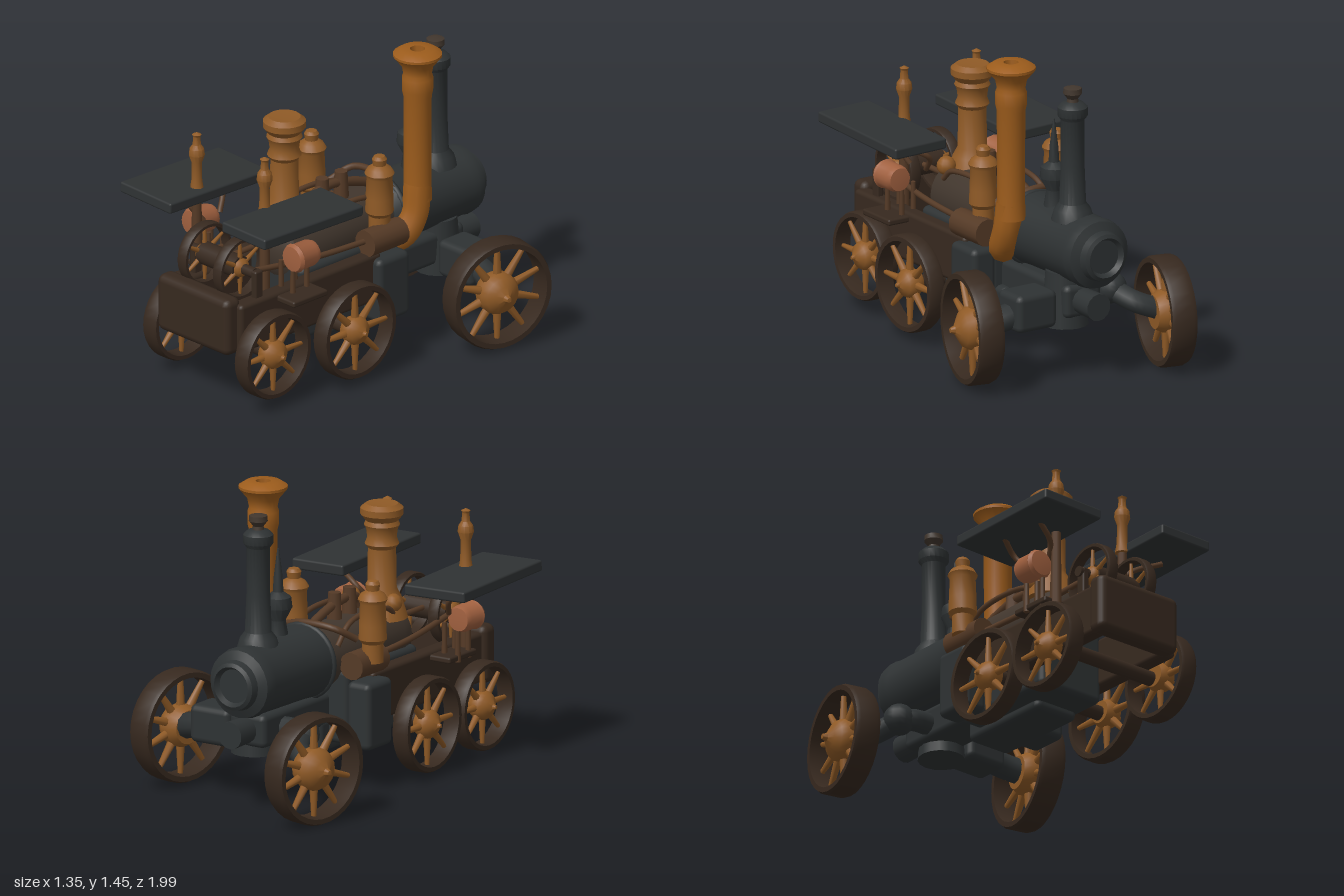
import * as THREE from 'three';
import { toCreasedNormals } from 'three/addons/utils/BufferGeometryUtils.js';
import { RoundedBoxGeometry } from 'three/addons/geometries/RoundedBoxGeometry.js';

const YAW = -0.11; // the body stands slightly askew
const STEER = -0.34; // steered rear axle
const mat = (color) => new THREE.MeshStandardMaterial({ color });
const M = {
  dark: mat(0x2e3233), iron: mat(0x37291f), rust: mat(0x553a26), soot: mat(0x41362d),
  brass: mat(0x8f5a26), orange: mat(0x9c5c1c), copper: mat(0xa0603f), slate: mat(0x2f3233),
};
const V = (x, y, z) => new THREE.Vector3(x, y, z);
// body coordinates (across, along) to model coordinates
const L = (lx, y, lz) => V(-0.03 + lx - 0.11 * lz, y, lz + 0.11 * lx);

// turned part; profile is [radius, height] pairs
const lathe = (pts, seg = 20) =>
  toCreasedNormals(new THREE.LatheGeometry(pts.map(([r, h]) => new THREE.Vector2(r, h)), seg), 0.65);
const box = (w, h, d, r = 0.02) => new RoundedBoxGeometry(w, h, d, 2, r);
const cylX = (r, len) => new THREE.CylinderGeometry(r, r, len, 16).rotateZ(-Math.PI / 2);

export function createModel() {
  const root = new THREE.Group();
  root.name = 'steamTractor';

  function put(name, geo, material, p, yaw = YAW, parent = root) {
    const m = new THREE.Mesh(geo, material);
    m.name = name;
    m.position.copy(p);
    m.rotation.y = yaw;
    parent.add(m);
    return m;
  }
  function pipe(name, pts, r, material) {
    const curve = new THREE.CatmullRomCurve3(pts);
    return put(name, new THREE.TubeGeometry(curve, pts.length * 5, r, 10), material, V(0, 0, 0), 0);
  }

  // Spoked wheel; side +1 or -1 points the hub cap outwards
  function wheel(name, p, R, width, spokes, hub, side, yaw = YAW) {
    const g = new THREE.Group();
    g.name = name;
    g.position.copy(p);
    g.rotation.y = yaw;
    root.add(g);
    const h = width / 2, ri = R * 0.88;
    const rim = lathe([[ri, -h], [R * 0.97, -h], [R, -h * 0.7], [R, h * 0.7], [R * 0.97, h],
      [ri, h], [ri * 0.98, 0], [ri, -h]], 32).rotateZ(-Math.PI / 2);
    put('rim', rim, M.iron, V(0, 0, 0), 0, g);
    for (let i = 0; i < spokes; i++) {
      const a = (i / spokes) * Math.PI * 2;
      const spoke = new THREE.CylinderGeometry(R * 0.045, R * 0.1, R * 0.92, 7)
        .translate(0, R * 0.46, 0).rotateX(a);
      put('spoke', spoke, M.brass, V(0, 0, 0), 0, g);
    }
    const cap = lathe([[0, -h], [hub * 0.8, -h], [hub, -h * 0.4], [hub, h * 0.4], [hub * 0.85, h * 0.85],
      [hub * 0.5, h * 1.2], [hub * 0.2, h * 1.5], [hub * 0.12, h * 1.85], [0, h * 1.9]]).rotateZ(-side * Math.PI / 2);
    put('hub', cap, M.brass, V(0, 0, 0), 0, g);
  }

  // Road wheels
  wheel('rearWheelLeft', V(0.533, 0.28, -0.398), 0.265, 0.12, 10, 0.1, 1, STEER);
  wheel('rearWheelRight', V(-0.345, 0.262, -0.735), 0.26, 0.12, 10, 0.1, -1, STEER);
  wheel('frontWheelLeft', V(0.17, 0.27, 0.78), 0.21, 0.085, 8, 0.068, 1);
  wheel('frontWheelRight', V(-0.465, 0.25, 0.67), 0.21, 0.085, 8, 0.068, -1);
  wheel('middleWheelLeft', V(0.287, 0.27, 0.33), 0.23, 0.085, 8, 0.068, 1);
  wheel('middleWheelRight', V(-0.41, 0.255, 0.24), 0.225, 0.085, 8, 0.068, -1);

  // Axles
  put('frontAxle', cylX(0.035, 0.6), M.iron, V(-0.145, 0.26, 0.725));
  put('middleAxle', cylX(0.035, 0.66), M.iron, V(-0.06, 0.265, 0.285));
  put('leftAxleBlock', box(0.22, 0.18, 0.18, 0.03), M.dark, V(0.28, 0.345, -0.49), -0.1);
  pipe('leftAxleArm', [V(0.3, 0.34, -0.49), V(0.42, 0.31, -0.46), V(0.53, 0.28, -0.4)], 0.062, M.dark);
  put('rightAxleKnuckle', new THREE.SphereGeometry(0.075, 14, 10), M.dark, V(-0.185, 0.36, -0.535));
  pipe('rightAxleArm', [V(0.06, 0.36, -0.47), V(-0.16, 0.36, -0.51), V(-0.23, 0.31, -0.66), V(-0.345, 0.262, -0.735)], 0.052, M.dark);
  put('steeringPivot', new THREE.CylinderGeometry(0.09, 0.11, 0.26, 16), M.dark, V(0.08, 0.37, -0.52));
  put('rearDrum', new THREE.CylinderGeometry(0.06, 0.065, 0.18, 14).rotateX(Math.PI / 2), M.dark, V(0.07, 0.37, -0.67));

  // Frame, tank and engine block
  put('frontTank', box(0.47, 0.28, 0.1, 0.035), M.iron, L(-0.025, 0.43, 0.92));
  for (const s of [-1, 1]) {
    put('sideRail', box(0.08, 0.24, 0.9), M.iron, L(s * 0.2, 0.42, 0.46));
    put('lampBoard', box(0.16, 0.03, 0.22, 0.01), M.iron, L(s * 0.27, 0.51, 0.57));
    put('sideCasing', box(0.13, 0.32, 0.2, 0.03), M.dark, L(s * 0.232 - 0.012, 0.36, -0.03));
    put('cylinderBlock', new THREE.CylinderGeometry(0.065, 0.065, 0.22, 14).rotateX(Math.PI / 2),
      M.rust, L(s * 0.21, 0.595, -0.02));
    pipe('connectingRod', [L(s * 0.2, 0.6, 0.05), L(s * 0.18, 0.61, 0.4), L(s * 0.15, 0.65, 0.79)], 0.014, M.rust);
  }
  put('engineBlock', box(0.36, 0.36, 0.58, 0.03), M.dark, L(0, 0.39, 0.17));
  put('sump', box(0.24, 0.16, 0.5, 0.03), M.dark, L(0.04, 0.25, 0.06));
  put('rearBeam', box(0.2, 0.16, 0.6, 0.03), M.dark, L(0.02, 0.37, -0.34));

  // Boiler barrel and firebox
  const barrel = lathe([[0, -0.77], [0.08, -0.77], [0.095, -0.795], [0.112, -0.785], [0.12, -0.75], [0.16, -0.73],
    [0.168, -0.69], [0.163, -0.66], [0.168, -0.3], [0.175, -0.2], [0.14, -0.17], [0, -0.17]], 24)
    .rotateX(Math.PI / 2);
  put('boiler', barrel, M.dark, L(0, 0.61, 0));
  const firebox = lathe([[0, -0.2], [0.145, -0.2], [0.15, 0.1], [0.155, 0.38], [0.14, 0.45], [0.08, 0.49], [0, 0.49]], 20)
    .rotateX(Math.PI / 2);
  put('firebox', firebox, M.soot, L(-0.01, 0.61, 0));
  put('boilerRing', new THREE.TorusGeometry(0.168, 0.016, 8, 28), M.dark, L(0, 0.61, -0.21));

  // Paired flywheels on a drum
  for (const s of [-1, 1]) wheel('flywheel', L(-0.027 + s * 0.115, 0.65, 0.77), 0.152, 0.055, 6, 0.045, s);
  put('flywheelDrum', cylX(0.055, 0.24), M.iron, L(-0.025, 0.65, 0.77));
  put('flywheelShaft', cylX(0.025, 0.42), M.iron, L(-0.02, 0.65, 0.77));
  for (const s of [-1, 1]) put('shaftBracket', box(0.035, 0.18, 0.05, 0.01), M.iron, L(s * 0.2, 0.58, 0.77));
  put('drawbar', new THREE.CylinderGeometry(0.012, 0.015, 0.32, 10).rotateX(Math.PI / 2), M.rust, L(-0.02, 0.66, 0.62));
  put('drawbarKnob', new THREE.SphereGeometry(0.036, 12, 8), M.rust, L(-0.02, 0.66, 0.53));

  // Chimneys
  put('frontChimney', lathe([[0, 0.66], [0.12, 0.7], [0.09, 0.8], [0.068, 0.84], [0.065, 1.03], [0.08, 1.05], [0.068, 1.08],
    [0.073, 1.12], [0.084, 1.14], [0.075, 1.16], [0.1, 1.19], [0.1, 1.22], [0.075, 1.24], [0, 1.235]]),
    M.brass, V(-0.112, 0, 0.355));
  pipe('smokestackElbow', [V(0.11, 0.51, -0.12), V(0.16, 0.55, -0.18), V(0.18, 0.64, -0.23), V(0.18, 0.78, -0.252)], 0.067, M.orange);
  put('smokestack', lathe([[0, 0.7], [0.068, 0.7], [0.064, 0.8], [0.066, 1.22], [0.073, 1.25], [0.073, 1.31], [0.066, 1.33],
    [0.074, 1.37], [0.114, 1.418], [0.114, 1.43], [0.08, 1.452], [0.035, 1.452], [0.03, 1.36], [0, 1.36]]),
    M.orange, V(0.178, 0, -0.255));
  put('rearChimney', lathe([[0, 0.7], [0.1, 0.74], [0.085, 0.79], [0.062, 0.82], [0.055, 1.0], [0.055, 1.22], [0.07, 1.24],
    [0.07, 1.28], [0.05, 1.3], [0, 1.31]]), M.dark, V(0.05, 0, -0.54));
  put('rearChimneyFinial', lathe([[0, 1.28], [0.03, 1.29], [0.025, 1.32], [0.044, 1.345], [0.042, 1.37], [0, 1.38]], 12),
    M.soot, V(0.05, 0, -0.54));
  put('spire', lathe([[0, 0.74], [0.05, 0.75], [0.035, 0.84], [0.066, 0.9], [0.06, 0.95], [0.025, 0.975],
    [0.02, 1.05], [0.004, 1.18], [0, 1.18]], 14), M.dark, V(0.03, 0, -0.385));

  // Brass steam domes on the cylinders
  for (const p of [V(0.145, 0, -0.02), V(-0.28, 0, -0.045)]) {
    put('steamDome', lathe([[0, 0.6], [0.05, 0.6], [0.05, 0.69], [0.066, 0.71], [0.064, 0.78], [0.06, 0.88], [0.07, 0.9],
      [0.055, 0.925], [0.03, 0.94], [0.035, 0.97], [0.025, 0.985], [0, 0.99]], 16), M.brass, p);
  }

  // Pipework along the top
  pipe('steamPipe', [L(0, 0.74, 0.27), L(0.01, 0.82, 0.22), L(0, 0.83, 0.08), L(0, 0.8, -0.05), L(0, 0.76, -0.16)], 0.022, M.rust);
  pipe('crossPipe', [L(-0.22, 0.72, -0.1), L(-0.16, 0.78, -0.19), L(0, 0.79, -0.2), L(0.12, 0.76, -0.17)], 0.016, M.rust);
  for (const s of [-1, 1]) {
    pipe('handrail', [L(s * 0.13, 0.72, 0.34), L(s * 0.13, 0.77, 0.28), L(s * 0.13, 0.77, -0.02), L(s * 0.14, 0.68, -0.14)], 0.013, M.rust);
    put('valveBall', new THREE.SphereGeometry(0.045, 12, 8), M.brass, L(s * 0.115, 0.78, 0.34));
  }
  for (const z of [0.04, 0.16]) put('valveCap', new THREE.CylinderGeometry(0.03, 0.038, 0.14, 10), M.rust, L(0, 0.81, z));

  // Canopies, tipped a little, with their posts, lamps and masts
  const canopies = [
    { p: V(0.18, 0.906, 0.65), w: 0.285, roll: -0.02, lamp: V(0.18, 0.7, 0.58), mast: V(0.03, 0, 0.67), s: 1 },
    { p: V(-0.478, 0.883, 0.56), w: 0.335, roll: -0.03, lamp: V(-0.445, 0.695, 0.55), mast: V(-0.39, 0, 0.65), s: -1 },
  ];
  for (const c of canopies) {
    put('canopy', box(c.w, 0.052, 0.635, 0.01).rotateX(-0.03).rotateZ(c.roll), M.slate, c.p);
    put('lamp', lathe([[0, -0.07], [0.055, -0.065], [0.064, -0.04], [0.064, 0.04], [0.07, 0.05], [0.06, 0.068], [0, 0.075]], 16)
      .rotateX(Math.PI / 2), M.copper, c.lamp);
    const inner = c.lamp.x - c.s * 0.05;
    for (const dx of [-0.035, 0.035]) for (const dz of [-0.05, 0.05]) {
      put('lampPost', new THREE.CylinderGeometry(0.011, 0.014, 0.18, 8), M.rust, V(inner + dx, 0.58, c.lamp.z + dz));
    }
    for (const dz of [-0.13, 0.1]) {
      const foot = V(c.mast.x, 0.72, c.lamp.z + dz / 2);
      pipe('canopyStrut', [foot, V(c.mast.x + c.s * 0.04, 0.8, c.lamp.z + dz),
        V(c.p.x + c.s * 0.03, 0.87, c.p.z + dz)], 0.013, M.rust);
    }
    put('canopyPost', new THREE.CylinderGeometry(0.022, 0.026, 0.4, 10), M.rust, V(c.mast.x, 0.69, c.mast.z));
    put('mast', lathe([[0, 0.88], [0.034, 0.89], [0.026, 0.94], [0.024, 1.03], [0.038, 1.07], [0.034, 1.1], [0.02, 1.12],
      [0.017, 1.16], [0.022, 1.17], [0, 1.182]], 12), M.brass, c.mast);
  }
  return root;
}
